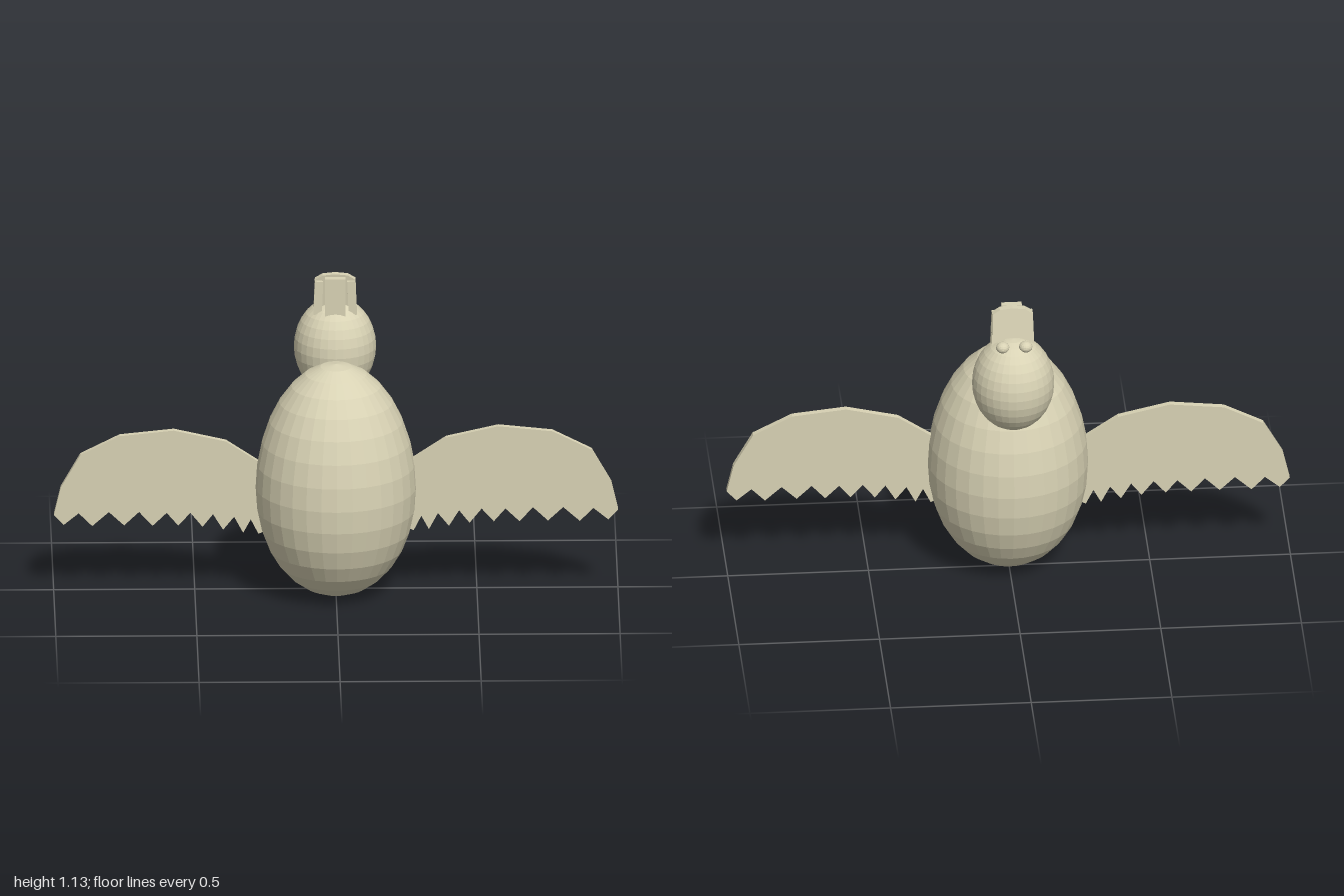
import * as THREE from 'three';

export function createModel() {
  const model = new THREE.Group();
  const clay = new THREE.MeshStandardMaterial({ color: 0xd8d2b4, flatShading: true });
  clay.name = 'khaki clay';

  const add = (name, geometry, x = 0, y = 0, z = 0) => {
    const mesh = new THREE.Mesh(geometry, clay);
    mesh.name = name;
    mesh.position.set(x, y, z);
    model.add(mesh);
    return mesh;
  };
  const ellipsoid = (rx, ry, rz, w, h) => new THREE.SphereGeometry(1, w, h).scale(rx, ry, rz);
  const plate = (points, depth) => new THREE.ExtrudeGeometry(
    new THREE.Shape(points.map(([x, y]) => new THREE.Vector2(x, y))),
    { depth, bevelEnabled: false });

  // Egg body, slightly fuller below the middle
  const egg = ellipsoid(0.285, 0.43, 0.285, 32, 16);
  const p = egg.attributes.position;
  for (let i = 0; i < p.count; i++) {
    const t = p.getY(i) / 0.43;
    p.setY(i, p.getY(i) - 0.03 * (1 - t * t));
  }
  add('body', egg, 0, 0.435, 0.048);

  // Head and eyes
  add('head', ellipsoid(0.146, 0.177, 0.148, 32, 16), 0, 0.852, -0.185);
  for (const s of [-1, 1]) {
    add(s > 0 ? 'leftEye' : 'rightEye', ellipsoid(0.024, 0.02, 0.024, 16, 10), s * 0.041, 1.02, -0.232);
  }

  // Wings: arched upper edge, feathered lower edge
  const wing = [
    [0.2, 0.47], [0.28, 0.52], [0.39, 0.593], [0.575, 0.635], [0.767, 0.615], [0.906, 0.545],
    [0.976, 0.422], [1, 0.32], [0.965, 0.283], [0.912, 0.326], [0.864, 0.278], [0.805, 0.33],
    [0.751, 0.28], [0.698, 0.33], [0.65, 0.278], [0.6, 0.326], [0.559, 0.278], [0.516, 0.326],
    [0.473, 0.273], [0.436, 0.32], [0.4, 0.262], [0.361, 0.31], [0.329, 0.25], [0.302, 0.3],
    [0.275, 0.246], [0.2, 0.28],
  ];
  add('leftWing', plate(wing, 0.022), 0, 0, 0.048);
  add('rightWing', plate(wing.map(([x, y]) => [-x, y]), 0.022), 0, -0.018, 0.026);

  // Crest: domed back plate leaning forward, widening towards its foot
  const dome = [
    [-0.075, 0.99], [0.075, 0.99], [0.072, 1.115], [0.045, 1.132],
    [0, 1.137], [-0.045, 1.132], [-0.072, 1.115],
  ];
  const back = plate(dome, 0.03);
  const b = back.attributes.position;
  for (let i = 0; i < b.count; i++) {
    const up = (b.getY(i) - 0.99) / 0.147;
    const rear = b.getZ(i) < 0.015;
    b.setZ(i, rear ? -0.187 + 0.027 * up : -0.15 + 0.015 * up);
  }
  back.computeVertexNormals();
  add('crestBack', back);

  // Crest prongs on the front of the plate
  for (const s of [-1, 1]) {
    const side = add(s > 0 ? 'crestLeftProng' : 'crestRightProng',
      new THREE.BoxGeometry(0.03, 0.125, 0.03), s * 0.06, 1.05, -0.14);
    side.rotation.z = s * 0.04;
  }
  add('crestMiddleProng', new THREE.BoxGeometry(0.072, 0.14, 0.024), 0, 1.06, -0.113);
  add('crestBridge', new THREE.BoxGeometry(0.05, 0.1, 0.025), 0, 1.055, -0.135);

  return model;
}
